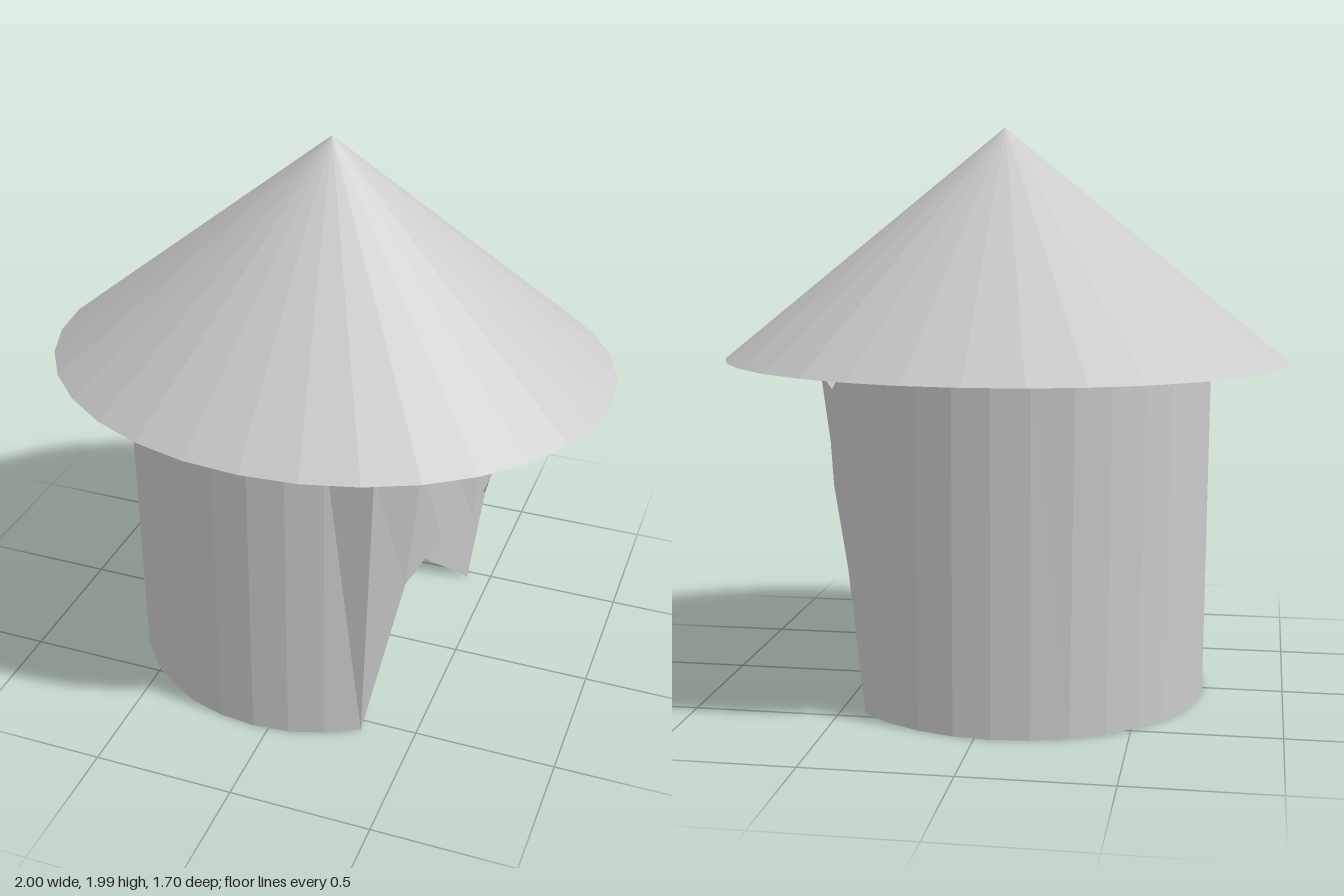
import * as THREE from 'three';

const SIDES = 32, RADIUS = 0.66, SHIFT = -0.056;

// Point on the round plan of the wall; index 0 faces +x, index 8 faces +z
function ring(i, y) {
  const a = (i / SIDES) * Math.PI * 2;
  return [SHIFT + RADIUS * Math.cos(a), y, RADIUS * Math.sin(a)];
}

function mesh(name, triangles, flatShading, normal) {
  const geometry = new THREE.BufferGeometry();
  const position = new THREE.Float32BufferAttribute(triangles.flat(2), 3);
  geometry.setAttribute('position', position);
  geometry.computeVertexNormals();
  if (normal) {
    for (let i = 0; i < position.count; i++) geometry.attributes.normal.setXYZ(i, ...normal);
  }
  const material = new THREE.MeshStandardMaterial({ color: 0xcccccc, flatShading, side: THREE.DoubleSide });
  const m = new THREE.Mesh(geometry, material);
  m.name = name;
  return m;
}

export function createModel() {
  const hut = new THREE.Group();
  hut.name = 'hut';

  // Lower edge: level ring, lifted to an uneven arch at the doorway
  const arch = {
    4: [0.44, 0.62, 0.48], 3: [0.53, 0.765, 0.37], 2: [0.6, 0.795, 0.25],
    1: [0.655, 0.955, 0.13], 0: [0.64, 0.945, 0], 31: [0.61, 0.88, -0.13],
    30: [0.565, 0.75, -0.26], 29: [0.49, 0.485, -0.37],
  };
  // Upper edge: ragged and leaning out above the door, two dips at the front
  const ragged = {
    5: [0.36, 1.09, 0.59], 4: [0.49, 1.1, 0.49], 3: [0.55, 1.085, 0.37],
    2: [0.64, 1.115, 0.25], 1: [0.72, 1.14, 0.14], 0: [0.68, 1.12, 0],
    31: [0.625, 1.105, -0.13], 30: [0.565, 1.09, -0.27],
    7: ring(7, 1.16), 8: ring(8, 1.09), 12: ring(12, 1.0), 13: ring(13, 1.14),
  };
  const bottom = [], top = [];
  for (let i = 0; i < SIDES; i++) {
    bottom.push(arch[i] ?? ring(i, 0));
    const p = ring(i, 1.19);
    if (i > 9 && i < 23) p[0] -= 0.012;
    top.push(ragged[i] ?? p);
  }

  // Wall, its cap under the roof, and the floor that folds up into the doorway
  const wall = [], cap = [], floor = [];
  const peak = [SHIFT, 1.3, 0], hinge = 23;
  for (let i = 0; i < SIDES; i++) {
    const j = (i + 1) % SIDES;
    wall.push([bottom[i], top[i], top[j]], [bottom[i], top[j], bottom[j]]);
    cap.push([peak, top[j], top[i]]);
    if (i !== hinge && j !== hinge) floor.push([bottom[hinge], bottom[i], bottom[j]]);
  }
  hut.add(mesh('wall', wall, true));
  hut.add(mesh('wallCap', cap, true));
  hut.add(mesh('floorAndDoorway', floor, false, [0.48, -0.877, 0]));

  // Oval conical roof with a closed underside
  const roof = new THREE.Mesh(
    new THREE.ConeGeometry(1, 0.81, SIDES),
    new THREE.MeshStandardMaterial({ color: 0xcccccc, flatShading: true })
  );
  roof.name = 'roof';
  roof.scale.z = 0.85;
  roof.position.y = 1.18 + 0.405;
  hut.add(roof);

  return hut;
}
